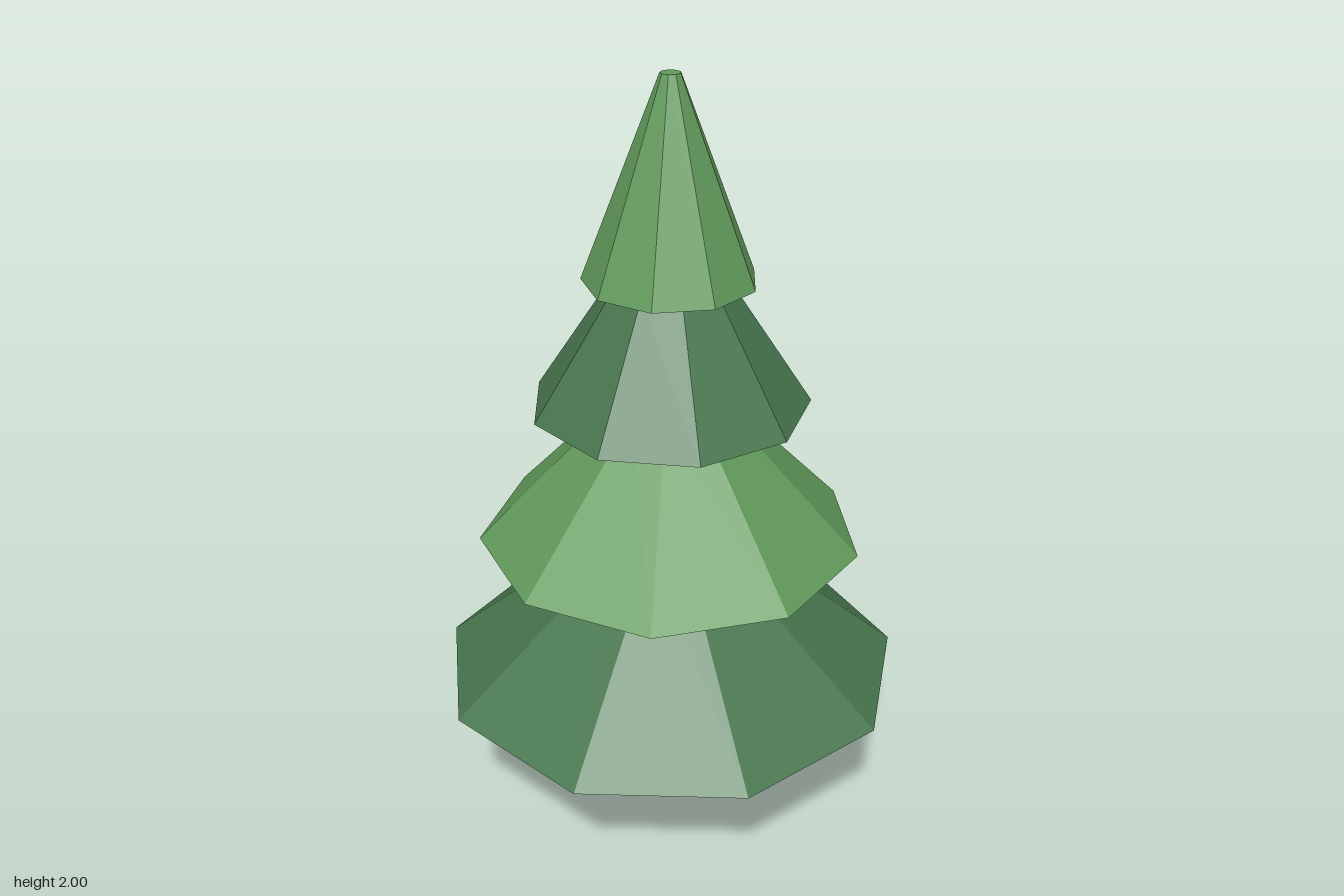
import * as THREE from 'three';

const SIDES = 9;
const CENTRE_Z = 0.016;

// Faceted solid turned around the trunk axis; profile runs bottom to top as [radius, y]
function turned(name, profile, turnDegrees, material) {
  const points = profile.map(([r, y]) => new THREE.Vector2(r, y));
  const geometry = new THREE.LatheGeometry(points, SIDES, THREE.MathUtils.degToRad(turnDegrees));
  const mesh = new THREE.Mesh(geometry, material);
  mesh.name = name;
  mesh.position.z = CENTRE_Z;
  return mesh;
}

export function createModel() {
  const flat = (name, color) => new THREE.MeshStandardMaterial({ name, color, flatShading: true });
  const darkGreen = flat('darkGreen', 0x48774f);
  const lightGreen = flat('lightGreen', 0x639b5c);
  const bark = flat('bark', 0x85593c);

  const tree = new THREE.Group();
  tree.name = 'pineTree';

  // Trunk with a slightly chamfered foot
  tree.add(turned('trunk', [[0, 0], [0.06, 0], [0.068, 0.01], [0.068, 0.41]], 20, bark));

  // Branch tiers: bottom radius, top radius, bottom y, top y, turn, material
  const tiers = [
    ['lowestBranches', 0.616, 0.13, 0.405, 0.807, 20, darkGreen],
    ['lowerBranches', 0.495, 0.13, 0.805, 1.187, -3, lightGreen],
    ['upperBranches', 0.354, 0.14, 1.18, 1.507, 13.6, darkGreen],
    ['treeTop', 0.216, 0.025, 1.505, 2, -9.3, lightGreen],
  ];
  for (const [name, rBottom, rTop, y0, y1, turn, material] of tiers) {
    tree.add(turned(name, [[0, y0], [rBottom, y0], [rTop, y1], [0, y1]], turn, material));
  }
  return tree;
}
